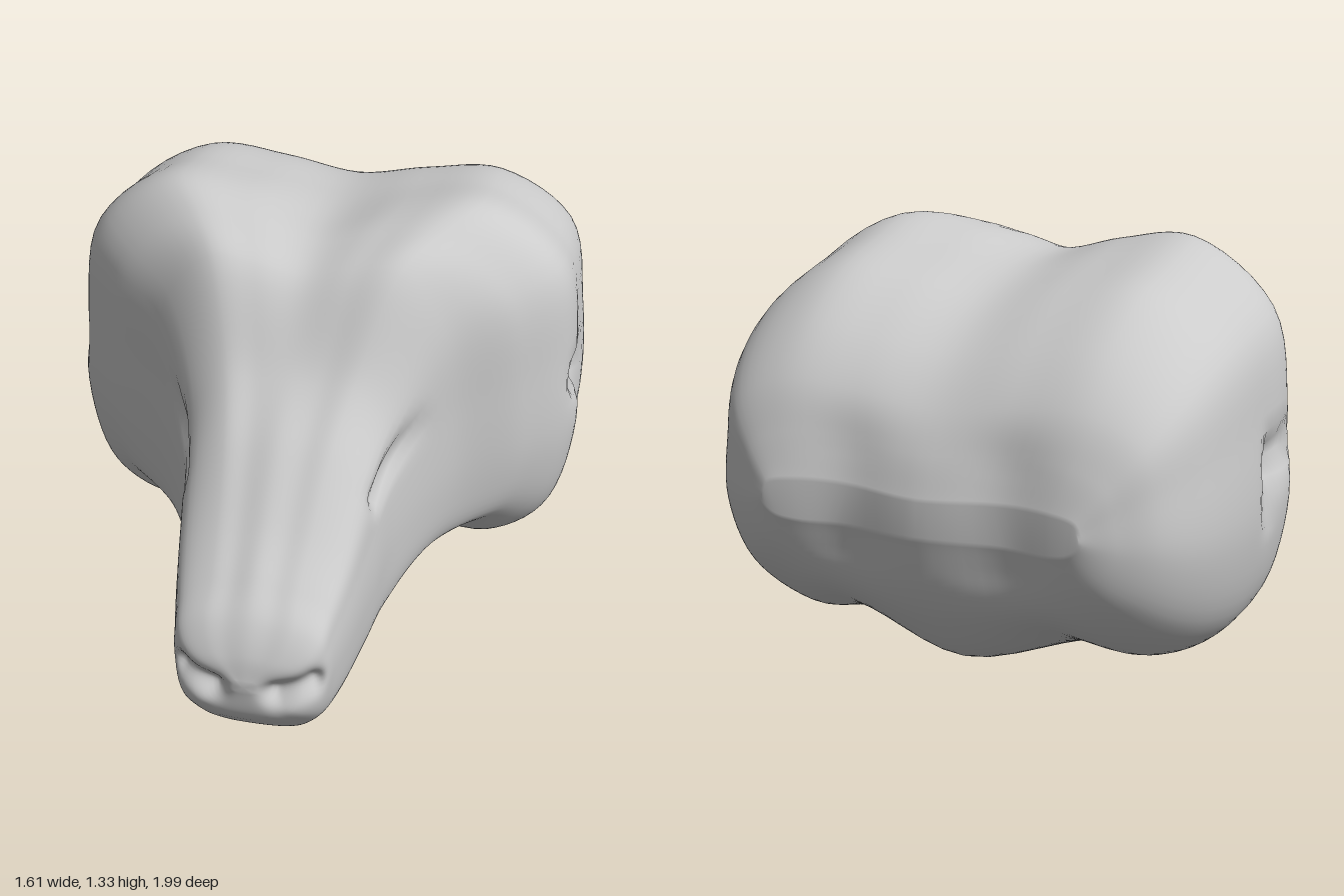
import * as THREE from 'three';

// Cross-sections from back to front:
// z, top centre y, top lobe y, top lobe x, half width, widest y, bottom lobe x, bottom lobe y, bottom centre y
const SECTIONS = [
  [-0.995, 0.73, 0.74, 0.38, 0.48, 0.69, 0.38, 0.63, 0.63],
  [-0.95, 0.85, 0.87, 0.42, 0.57, 0.69, 0.41, 0.50, 0.46],
  [-0.88, 0.96, 1.00, 0.46, 0.66, 0.69, 0.45, 0.40, 0.33],
  [-0.75, 1.08, 1.13, 0.47, 0.73, 0.67, 0.49, 0.29, 0.19],
  [-0.55, 1.18, 1.24, 0.48, 0.775, 0.66, 0.53, 0.19, 0.105],
  [-0.30, 1.225, 1.29, 0.49, 0.79, 0.65, 0.55, 0.13, 0.07],
  [-0.08, 1.235, 1.325, 0.48, 0.787, 0.64, 0.55, 0.17, 0.085],
  [0.08, 1.225, 1.285, 0.38, 0.66, 0.62, 0.47, 0.28, 0.095],
  [0.22, 1.17, 1.215, 0.29, 0.465, 0.58, 0.35, 0.24, 0.08],
  [0.40, 0.95, 0.945, 0.20, 0.335, 0.50, 0.26, 0.12, 0.035],
  [0.57, 0.80, 0.78, 0.16, 0.295, 0.42, 0.20, 0.045, 0.012],
  [0.74, 0.62, 0.60, 0.14, 0.265, 0.36, 0.17, 0.025, 0.003],
  [0.85, 0.52, 0.50, 0.13, 0.24, 0.32, 0.15, 0.035, 0.012],
  [0.93, 0.44, 0.425, 0.13, 0.218, 0.28, 0.14, 0.10, 0.08],
  [0.98, 0.35, 0.34, 0.10, 0.16, 0.25, 0.10, 0.155, 0.14],
  [1.00, 0.27, 0.27, 0.02, 0.03, 0.25, 0.02, 0.24, 0.24],
];

const { lerp: mix, smoothstep } = THREE.MathUtils;

// Closed, mirrored outline of one section, starting at the top centre
function outline([z, tc, tl, tx, w, my, bx, bl, bc]) {
  // The underside is flat at the muzzle and hollow beside the cheeks
  const hollow = mix(0.25, 1.2, smoothstep(w, 0.5, 0.8));
  const half = [
    [tx * 0.5, mix(tc, tl, 0.7)],
    [tx, tl],
    [mix(tx, w, 0.8), mix(tl, my, 0.27)],
    [w * 0.99, mix(tl, my, 0.72)],
    [w, mix(my, bl, 0.25)],
    [mix(bx, w, 0.68), mix(my, bl, 0.77)],
    [bx, bl],
    [bx * 0.64, mix(bc, bl, hollow)],
  ];
  const pts = [[0, tc], ...half, [0, bc], ...half.map(([x, y]) => [-x, y]).reverse()];
  return pts.map(([x, y]) => new THREE.Vector3(x, y, z));
}

// Hollows pressed into the skin on both sides: segment from a to b, radius, push
const V = (x, y, z) => new THREE.Vector3(x, y, z);
const DENTS = [
  { a: V(0.345, 0.78, 0.29), b: V(0.28, 0.64, 0.53), r: 0.035, push: V(-0.035, -0.01, -0.02) }, // eye
  { a: V(0.785, 0.74, -0.14), b: V(0.785, 0.73, -0.26), r: 0.055, push: V(-0.05, 0, 0) },       // ear hollow
  { a: V(0.785, 0.70, -0.27), b: V(0.785, 0.60, -0.29), r: 0.055, push: V(-0.025, 0, 0) },      // ear fold
  { a: V(0.10, 0.235, 0.985), b: V(0.185, 0.265, 0.95), r: 0.04, push: V(-0.01, 0, -0.05) },    // nostril
  { a: V(0.24, 0.55, -0.98), b: V(0.24, 0.82, -0.98), r: 0.14, push: V(0, 0, 0.03) },           // back of skull
];

function pressDents(p) {
  const s = p.x < 0 ? -1 : 1;
  const q = V(Math.abs(p.x), p.y, p.z), near = V(0, 0, 0);
  for (const d of DENTS) {
    new THREE.Line3(d.a, d.b).closestPointToPoint(q, true, near);
    const k = Math.exp(-((near.distanceTo(q) / d.r) ** 2));
    p.x += s * d.push.x * k;
    p.y += d.push.y * k;
    p.z += d.push.z * k;
  }
  return p;
}

// Smooth skin lofted through the sections
function loftHead(rings, sides) {
  const outlines = SECTIONS.map(outline);
  const rails = outlines[0].map((_, k) => new THREE.CatmullRomCurve3(outlines.map(o => o[k])));
  const pos = [], index = [];
  for (let i = 0; i <= rings; i++) {
    const loop = new THREE.CatmullRomCurve3(rails.map(r => r.getPoint(i / rings)), true);
    for (let j = 0; j < sides; j++) pos.push(...pressDents(loop.getPoint(j / sides)).toArray());
  }
  for (let i = 0; i < rings; i++) {
    for (let j = 0; j < sides; j++) {
      const a = i * sides + j, b = i * sides + (j + 1) % sides;
      index.push(a, a + sides, b, b, a + sides, b + sides);
    }
  }
  // Close the narrow back with upright strips from top edge to bottom edge, and the nose tip with a fan
  const last = rings * sides, half = sides / 2, tip = pos.length / 3;
  pos.push(0, 0.255, 1);
  for (const [start, step] of [[0, 1], [sides, -1]]) {
    for (let k = 0; k < half / 2; k++) {
      const a = (start + step * k) % sides, b = (start + step * (k + 1)) % sides;
      const c = (start + step * (half - k)) % sides, d = (start + step * (half - k - 1)) % sides;
      if (step > 0) index.push(a, b, c, b, d, c);
      else index.push(a, c, b, b, c, d);
    }
  }
  for (let j = 0; j < sides; j++) index.push(tip, last + (j + 1) % sides, last + j);
  const g = new THREE.BufferGeometry();
  g.setAttribute('position', new THREE.Float32BufferAttribute(pos, 3));
  g.setIndex(index);
  g.computeVertexNormals();
  return g;
}

export function createModel() {
  const group = new THREE.Group();
  group.name = 'animalHead';
  const head = new THREE.Mesh(loftHead(150, 108), new THREE.MeshStandardMaterial({ color: 0xcccccc }));
  head.name = 'head';
  group.add(head);
  return group;
}
